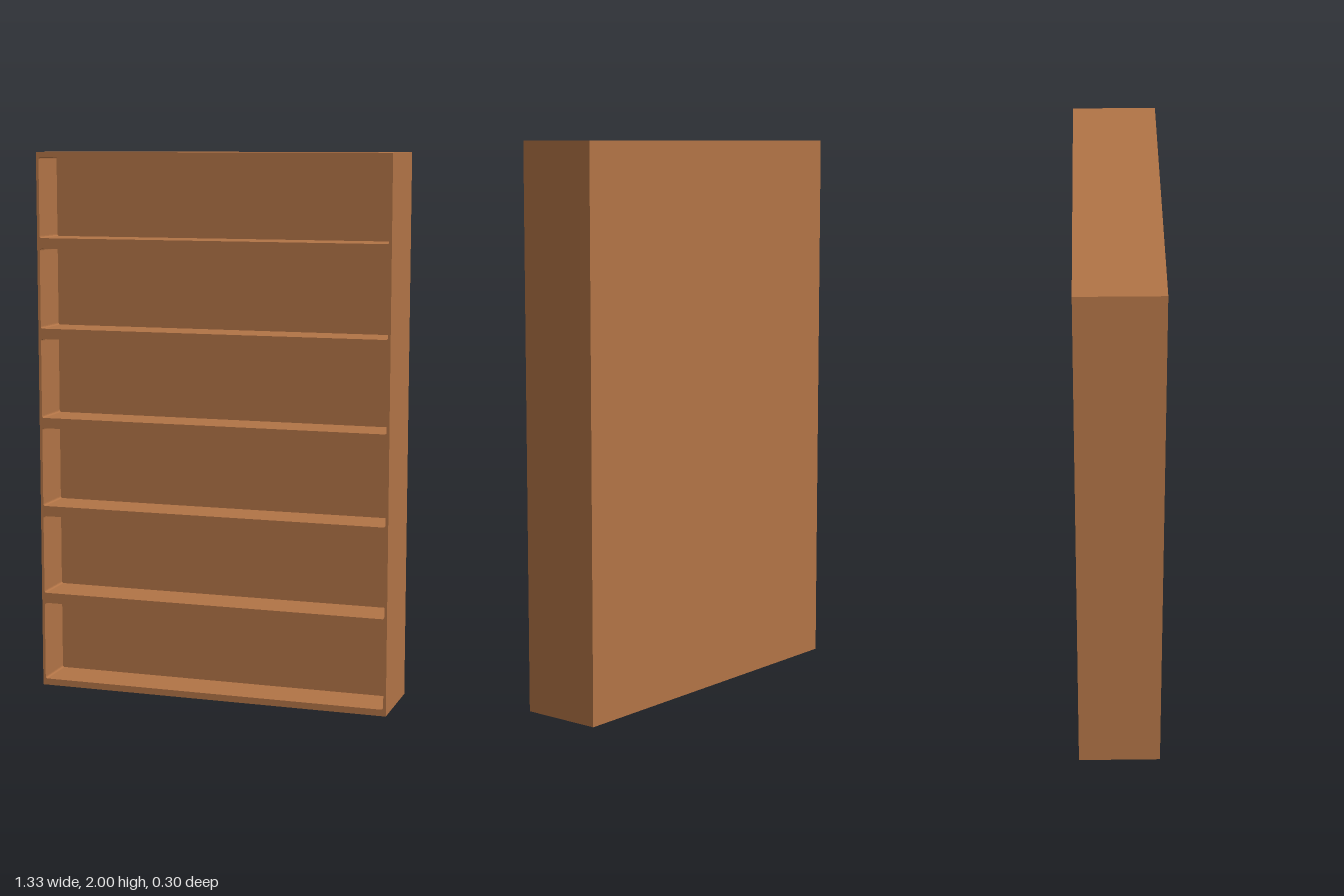
import * as THREE from 'three';

const WIDTH = 1.33, HEIGHT = 2, DEPTH = 0.3;
const BAY_DEPTH = 0.168, BAYS = 6;
const BAY_WIDTH = 1.31, BAY_HEIGHT = 0.294, BAY_BOTTOM = 0.024, BAY_PITCH = 0.3327;

// Rounded rectangular outline of one shelf bay
function bayOutline(y) {
  const x = BAY_WIDTH / 2, top = y + BAY_HEIGHT, r = 0.008;
  const p = new THREE.Path();
  p.moveTo(-x + r, y);
  p.lineTo(x - r, y);
  p.quadraticCurveTo(x, y, x, y + r);
  p.lineTo(x, top - r);
  p.quadraticCurveTo(x, top, x - r, top);
  p.lineTo(-x + r, top);
  p.quadraticCurveTo(-x, top, -x, top - r);
  p.lineTo(-x, y + r);
  p.quadraticCurveTo(-x, y, -x + r, y);
  return p;
}

export function createModel() {
  const group = new THREE.Group();
  group.name = 'bookcase';
  const wood = new THREE.MeshStandardMaterial({ color: 0xb27446 });
  wood.name = 'wood';

  // Front frame: sides, top, bottom and shelves cut as one piece
  const w = WIDTH / 2;
  const outline = new THREE.Shape([
    new THREE.Vector2(-w, 0), new THREE.Vector2(w, 0),
    new THREE.Vector2(w, HEIGHT), new THREE.Vector2(-w, HEIGHT),
  ]);
  for (let i = 0; i < BAYS; i++) outline.holes.push(bayOutline(BAY_BOTTOM + i * BAY_PITCH));
  const frame = new THREE.Mesh(
    new THREE.ExtrudeGeometry(outline, { depth: BAY_DEPTH, bevelEnabled: false, curveSegments: 4 }),
    wood
  );
  frame.name = 'shelfFrame';
  frame.position.z = DEPTH / 2 - BAY_DEPTH;
  group.add(frame);

  // Thick solid back behind the bays
  const backDepth = DEPTH - BAY_DEPTH;
  const back = new THREE.Mesh(new THREE.BoxGeometry(WIDTH, HEIGHT, backDepth), wood);
  back.name = 'backPanel';
  back.position.set(0, HEIGHT / 2, -DEPTH / 2 + backDepth / 2);
  group.add(back);

  return group;
}
